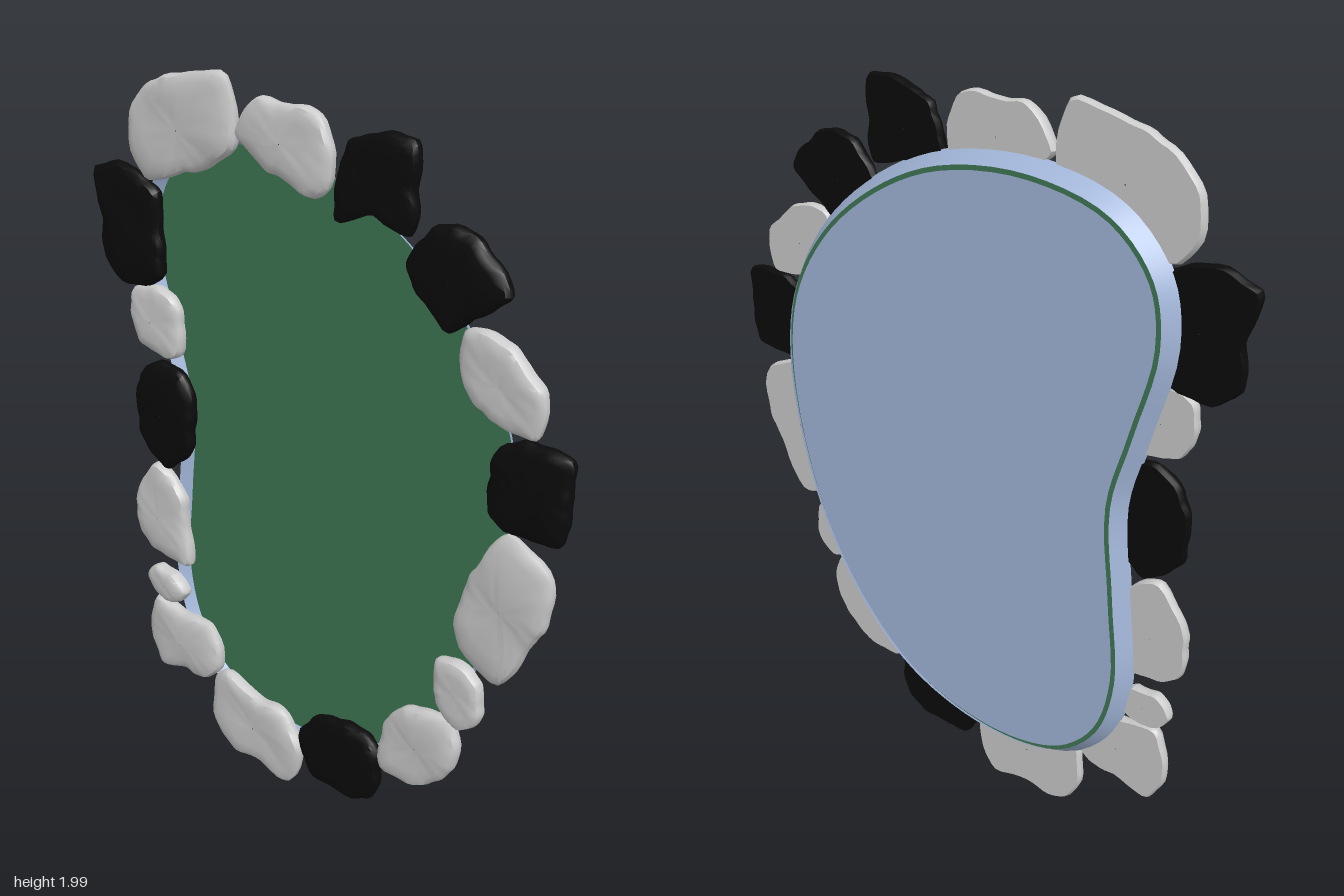
import * as THREE from 'three';
import { toCreasedNormals } from 'three/addons/utils/BufferGeometryUtils.js';

// Kidney outline of the pond rim, counter-clockwise
const RIM = [
  [0.62, 1.08], [0.59, 1.32], [0.47, 1.53], [0.28, 1.70], [0.06, 1.81], [-0.22, 1.85], [-0.46, 1.80],
  [-0.59, 1.67], [-0.62, 1.50], [-0.56, 1.25], [-0.51, 1.05], [-0.53, 0.80], [-0.55, 0.55],
  [-0.50, 0.36], [-0.38, 0.23], [-0.20, 0.17], [0.02, 0.18], [0.22, 0.26], [0.42, 0.46], [0.55, 0.72],
];

// Stones: centre x, y, then eight radii every 45 degrees from +x
const PALE_STONES = [
  [-0.45, 1.84, 0.19, 0.22, 0.14, 0.15, 0.20, 0.21, 0.11, 0.12],
  [-0.09, 1.87, 0.15, 0.13, 0.09, 0.13, 0.16, 0.10, 0.09, 0.16],
  [0.57, 1.44, 0.12, 0.09, 0.11, 0.15, 0.11, 0.09, 0.09, 0.14],
  [0.61, 0.88, 0.12, 0.18, 0.20, 0.12, 0.12, 0.19, 0.21, 0.11],
  [0.49, 0.59, 0.07, 0.08, 0.09, 0.10, 0.07, 0.08, 0.10, 0.09],
  [0.37, 0.37, 0.12, 0.16, 0.12, 0.11, 0.12, 0.17, 0.12, 0.10],
  [-0.22, 0.15, 0.17, 0.14, 0.10, 0.19, 0.18, 0.16, 0.11, 0.18],
  [-0.51, 0.31, 0.15, 0.14, 0.10, 0.16, 0.15, 0.15, 0.09, 0.12],
  [-0.58, 0.48, 0.08, 0.06, 0.05, 0.07, 0.08, 0.06, 0.05, 0.06],
  [-0.59, 0.70, 0.10, 0.13, 0.17, 0.12, 0.10, 0.12, 0.12, 0.16],
  [-0.58, 1.30, 0.10, 0.11, 0.10, 0.11, 0.09, 0.09, 0.09, 0.12],
];
const DARK_STONES = [
  [0.19, 1.83, 0.12, 0.16, 0.11, 0.11, 0.11, 0.16, 0.08, 0.15],
  [0.42, 1.65, 0.16, 0.13, 0.13, 0.12, 0.13, 0.10, 0.12, 0.10],
  [0.66, 1.21, 0.11, 0.15, 0.12, 0.12, 0.11, 0.14, 0.12, 0.14],
  [0.10, 0.21, 0.14, 0.15, 0.11, 0.12, 0.15, 0.15, 0.12, 0.14],
  [-0.56, 1.03, 0.11, 0.15, 0.16, 0.13, 0.11, 0.13, 0.16, 0.13],
  [-0.66, 1.55, 0.11, 0.15, 0.16, 0.19, 0.11, 0.16, 0.17, 0.16],
];

// Closed smooth rim, moved inwards by a distance
function outline(inset) {
  const curve = new THREE.CatmullRomCurve3(RIM.map(([x, y]) => new THREE.Vector3(x, y, 0)), true);
  const pts = [];
  for (let i = 0; i < 100; i++) {
    const p = curve.getPoint(i / 100);
    const t = curve.getTangent(i / 100);
    pts.push(new THREE.Vector2(p.x - t.y * inset, p.y + t.x * inset));
  }
  return pts;
}

// Surface joining a list of equal closed loops of points
function loft(loops) {
  const n = loops[0].length;
  const index = [];
  for (let r = 0; r < loops.length - 1; r++) {
    for (let i = 0; i < n; i++) {
      const a = r * n + i, b = r * n + (i + 1) % n;
      index.push(a, b, b + n, a, b + n, a + n);
    }
  }
  const geo = new THREE.BufferGeometry();
  geo.setAttribute('position', new THREE.Float32BufferAttribute(loops.flat().flatMap((p) => [p.x, p.y, p.z]), 3));
  geo.setIndex(index);
  geo.computeVertexNormals();
  return geo;
}

// Flat-backed stone with a rounded, uneven face
function stoneGeometry([cx, cy, ...radii], seed, rough) {
  const corners = radii.map((r, i) => {
    const a = i * Math.PI / 4;
    return new THREE.Vector3(Math.cos(a) * r, Math.sin(a) * r, 0);
  });
  const edge = new THREE.CatmullRomCurve3(corners, true).getPoints(48).slice(0, 48);
  const profile = [[0.01, -0.004], [0.97, -0.004], [1, 0.005], [1, 0.016], [0.95, 0.026],
    [0.82, 0.032], [0.6, 0.034], [0.3, 0.035], [0.01, 0.035]];
  const loops = profile.map(([s, z]) => edge.map((p, i) => {
    const a = i / 48 * Math.PI * 2;
    const chip = 1 + rough * (Math.sin(a * 7 + seed * 2.1) + 0.8 * Math.sin(a * 12 + seed * 3.7));
    const x = cx + p.x * s * chip, y = cy + p.y * s * chip;
    const bump = z > 0.02 ? 0.004 * Math.sin(x * 31 + seed) * Math.sin(y * 27 - x * 14 + seed * 1.7)
      + rough * 0.08 * Math.sin(x * 95 + y * 40) * Math.sin(y * 88) : 0;
    return new THREE.Vector3(x, y, z + bump);
  }));
  return toCreasedNormals(loft(loops), 0.7);
}

export function createModel() {
  const pond = new THREE.Group();
  pond.name = 'gardenPond';
  const add = (parent, name, geo, mat) => {
    const mesh = new THREE.Mesh(geo, mat);
    mesh.name = name;
    parent.add(mesh);
  };
  const blue = new THREE.MeshStandardMaterial({ color: 0xa3b7da, side: THREE.DoubleSide });
  const green = new THREE.MeshStandardMaterial({ color: 0x3f7854, side: THREE.DoubleSide });
  const pale = new THREE.MeshStandardMaterial({ color: 0xcccccc });
  const dark = new THREE.MeshStandardMaterial({ color: 0x0b0b0b });

  // Shallow basin: sloping wall, and a floor set just inside its lower edge
  const basin = new THREE.Group();
  basin.name = 'basin';
  pond.add(basin);
  const lift = (inset, z) => outline(inset).map((p) => new THREE.Vector3(p.x, p.y, z));
  add(basin, 'basinWall', loft([lift(0.03, -0.043), lift(0, 0)]), blue);
  const floor = new THREE.ShapeGeometry(new THREE.Shape(outline(0.042)));
  add(basin, 'basinFloor', floor.translate(0, 0, -0.045), blue);

  // Water sheet
  const water = new THREE.ShapeGeometry(new THREE.Shape(outline(0.022)));
  add(pond, 'water', water.translate(0, 0, -0.03), green);

  // Ring of stones
  const ring = new THREE.Group();
  ring.name = 'stoneRing';
  pond.add(ring);
  PALE_STONES.forEach((s, i) => add(ring, 'paleStone' + (i + 1), stoneGeometry(s, i + 1, 0.014), pale));
  DARK_STONES.forEach((s, i) => add(ring, 'darkStone' + (i + 1), stoneGeometry(s, i + 20, 0.022), dark));
  return pond;
}
